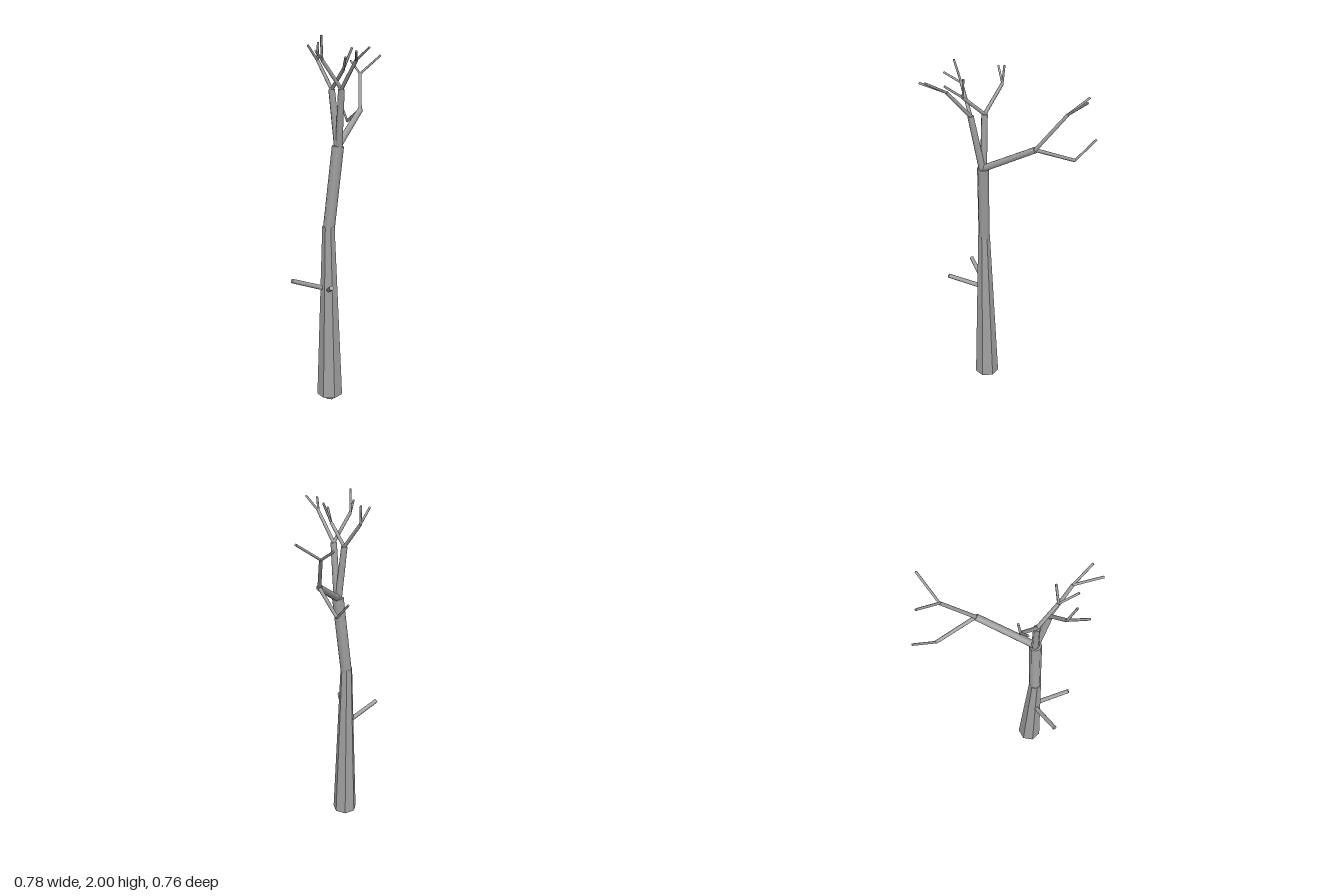
import * as THREE from 'three';

export function createModel() {
  const tree = new THREE.Group();
  tree.name = 'bareTree';

  const bark = new THREE.MeshStandardMaterial({ color: 0xa0a0a0 });
  bark.name = 'grey bark';
  const flatBark = bark.clone();
  flatBark.flatShading = true;

  const up = new THREE.Vector3(0, 1, 0);

  // Tapered limb running from point a to point b
  function limb(name, a, b, r0, r1, parent = tree, sides = 8, material = bark, turn = 0) {
    const start = new THREE.Vector3(...a);
    const dir = new THREE.Vector3(...b).sub(start);
    const geo = new THREE.CylinderGeometry(r1, r0, dir.length(), sides, 1, false, turn);
    geo.translate(0, dir.length() / 2, 0);
    const mesh = new THREE.Mesh(geo, material);
    mesh.name = name;
    mesh.position.copy(start);
    mesh.quaternion.setFromUnitVectors(up, dir.normalize());
    parent.add(mesh);
  }

  // Seven-sided trunk with a small root stub and a leaning upper part
  const turn = THREE.MathUtils.degToRad(-16);
  limb('rootStub', [-0.17, 0, 0.056], [-0.17, 0.035, 0.056], 0.028, 0.042, tree, 7, flatBark, turn);
  limb('lowerTrunk', [-0.17, 0.03, 0.056], [-0.172, 1.01, 0.056], 0.072, 0.034, tree, 7, flatBark, turn);
  limb('upperTrunk', [-0.171, 0.99, 0.056], [-0.127, 1.44, 0.082], 0.032, 0.032);

  // Broken stubs low on the trunk
  limb('lowStubSide', [-0.18, 0.655, 0.047], [-0.385, 0.735, 0.013], 0.013, 0.012);
  limb('lowStubFront', [-0.18, 0.65, 0.06], [-0.288, 0.735, 0.234], 0.013, 0.012);

  // Crown: each bough carries forks, each fork ends in twigs
  const boughs = [
    {
      name: 'sideBough', from: [-0.118, 1.445, 0.078], to: [0.139, 1.6, -0.063],
      forks: [
        { to: [0.21, 1.518, -0.268], twigs: [[0.244, 1.62, -0.378]] },
        { to: [0.238, 1.79, -0.185], twigs: [[0.385, 1.89, -0.179], [0.262, 1.86, -0.3]] },
      ],
    },
    {
      name: 'frontBough', from: [-0.124, 1.42, 0.085], to: [-0.147, 1.735, 0.138],
      forks: [
        { to: [-0.254, 1.88, 0.122], twigs: [[-0.332, 1.925, 0.178], [-0.277, 1.998, 0.147]] },
        { to: [-0.156, 1.88, 0.267], twigs: [[-0.24, 1.925, 0.371], [-0.166, 1.942, 0.378]] },
      ],
    },
    {
      name: 'backBough', from: [-0.126, 1.42, 0.08], to: [-0.145, 1.73, 0.054],
      forks: [
        { to: [-0.148, 1.87, -0.06], twigs: [[-0.202, 1.95, -0.072], [-0.14, 1.965, -0.068]] },
        { to: [-0.16, 1.835, 0.172], twigs: [[-0.208, 1.895, 0.25], [-0.12, 1.94, 0.19]] },
      ],
    },
  ];

  for (const { name, from, to, forks } of boughs) {
    const group = new THREE.Group();
    group.name = name;
    tree.add(group);
    limb('bough', from, to, 0.019, 0.017, group);
    for (const fork of forks) {
      limb('fork', to, fork.to, 0.01, 0.009, group, 7);
      for (const tip of fork.twigs) limb('twig', fork.to, tip, 0.0065, 0.006, group, 6);
    }
  }

  return tree;
}
